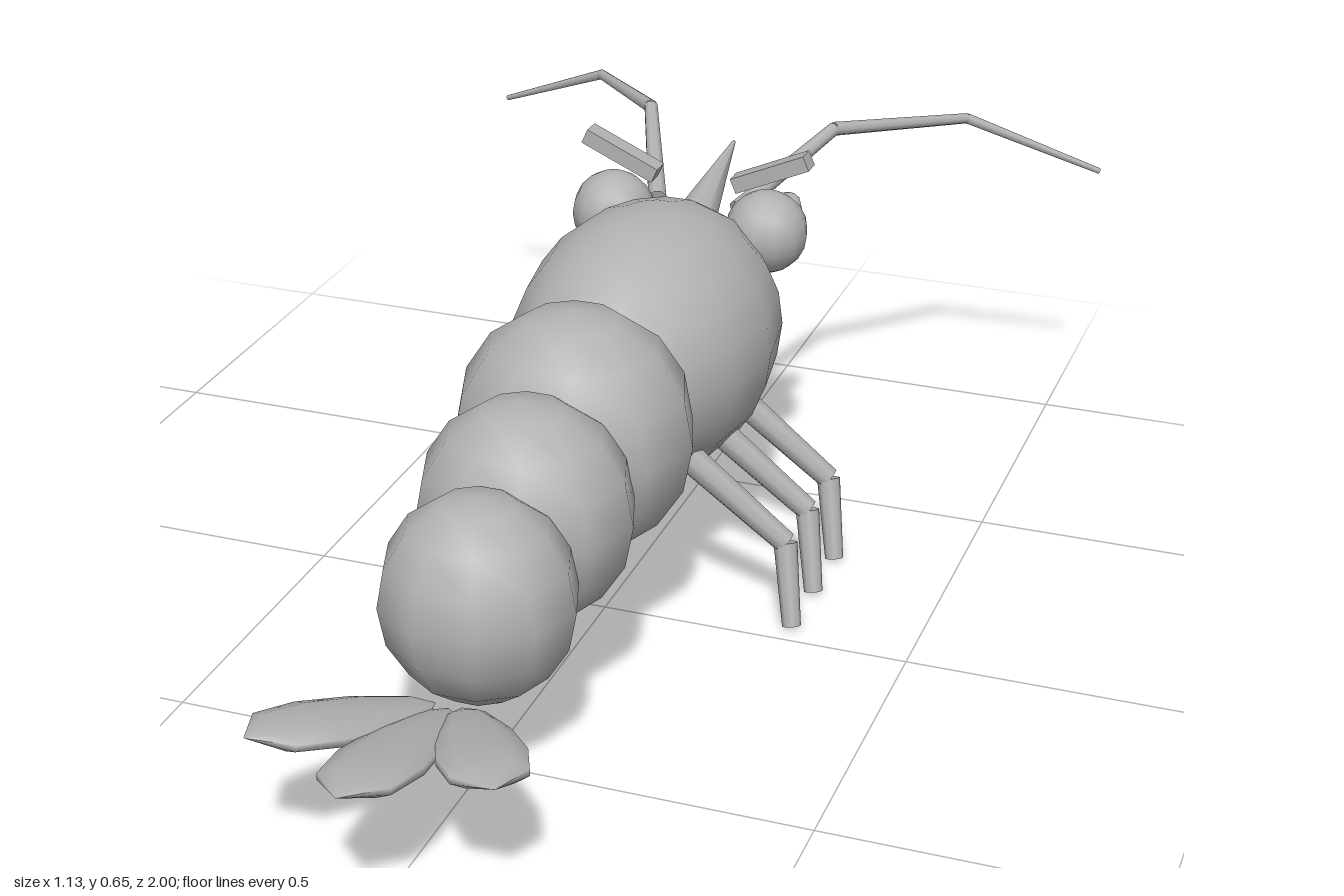
import * as THREE from 'three';

const grey = new THREE.MeshStandardMaterial({ color: 0xb2b2b2 });
grey.name = 'shellGrey';

export function createModel() {
  const model = new THREE.Group();
  model.name = 'shrimp';

  const add = (name, geometry, parent = model) => {
    const mesh = new THREE.Mesh(geometry, grey);
    mesh.name = name;
    parent.add(mesh);
    return mesh;
  };

  const ellipsoid = (name, pos, radii, w = 10, h = 8) => {
    const mesh = add(name, new THREE.SphereGeometry(1, w, h));
    mesh.position.set(...pos);
    mesh.scale.set(...radii);
    return mesh;
  };

  // Tapered rod from a to b
  const rod = (name, a, b, ra, rb, parent = model, sides = 8) => {
    const from = new THREE.Vector3(...a), to = new THREE.Vector3(...b);
    const dir = to.clone().sub(from);
    const mesh = add(name, new THREE.CylinderGeometry(rb, ra, dir.length(), sides), parent);
    mesh.position.copy(from).addScaledVector(dir, 0.5);
    mesh.quaternion.setFromUnitVectors(new THREE.Vector3(0, 1, 0), dir.normalize());
    return mesh;
  };

  // Chain of tapered rods through a list of points
  const limb = (name, points, radii) => {
    const group = new THREE.Group();
    group.name = name;
    for (let i = 0; i < points.length - 1; i++) {
      rod(`${name}Segment${i + 1}`, points[i], points[i + 1], radii[i], radii[i + 1], group);
    }
    model.add(group);
  };

  // Body: carapace and three overlapping abdomen segments
  ellipsoid('carapace', [0, 0.395, -0.195], [0.208, 0.215, 0.3], 14, 12);
  ellipsoid('abdomenFront', [0, 0.38, 0.135], [0.19, 0.198, 0.18]);
  ellipsoid('abdomenMiddle', [0, 0.34, 0.335], [0.168, 0.176, 0.16]);
  ellipsoid('abdomenRear', [0, 0.29, 0.517], [0.149, 0.16, 0.142]);

  // Spike above the face
  rod('rostrum', [0, 0.51, -0.43], [0, 0.578, -0.635], 0.036, 0.003);

  // Tail fins: leaf profiles flattened to thin petals
  const leaf = [[0, 0], [0.03, 0.1], [0.055, 0.35], [0.066, 0.62], [0.056, 0.85], [0, 1]];
  const fin = (name, base, length, yaw) => {
    const profile = leaf.map(([r, t]) => new THREE.Vector2(r, t * length));
    const geometry = new THREE.LatheGeometry(profile, 10);
    geometry.rotateX(Math.PI / 2);
    geometry.scale(1, 0.28, 1);
    geometry.rotateX(-0.2);
    geometry.rotateY(yaw);
    add(name, geometry).position.set(...base);
  };
  fin('tailFinCentre', [0, 0.17, 0.63], 0.375, 0);

  for (const [side, s] of [['left', 1], ['right', -1]]) {
    fin(`${side}TailFin`, [s * 0.02, 0.175, 0.63], 0.32, s * 0.54);

    // Eye, pupil and slanted brow
    ellipsoid(`${side}Eye`, [s * 0.133, 0.52, -0.4], [0.069, 0.069, 0.069], 12, 10);
    ellipsoid(`${side}Pupil`, [s * 0.152, 0.545, -0.457], [0.024, 0.024, 0.024], 8, 6);
    const brow = add(`${side}Brow`, new THREE.BoxGeometry(0.135, 0.026, 0.034));
    brow.position.set(s * 0.13, 0.61, -0.435);
    brow.rotation.z = s * 0.42;

    // Long bent antenna
    limb(`${side}Antenna`, [
      [s * 0.07, 0.535, -0.44], [s * 0.165, 0.608, -0.675],
      [s * 0.342, 0.572, -0.905], [s * 0.565, 0.47, -0.997],
    ], [0.016, 0.012, 0.009, 0.005]);

    // Three walking legs
    for (let i = 0; i < 3; i++) {
      const z = -0.035 - i * 0.121;
      limb(`${side}Leg${i + 1}`, [
        [s * 0.12, 0.27, z - 0.015], [s * 0.277, 0.132, z - 0.04], [s * 0.302, 0.005, z - 0.003],
      ], [0.024, 0.019, 0.015]);
    }
  }
  return model;
}
